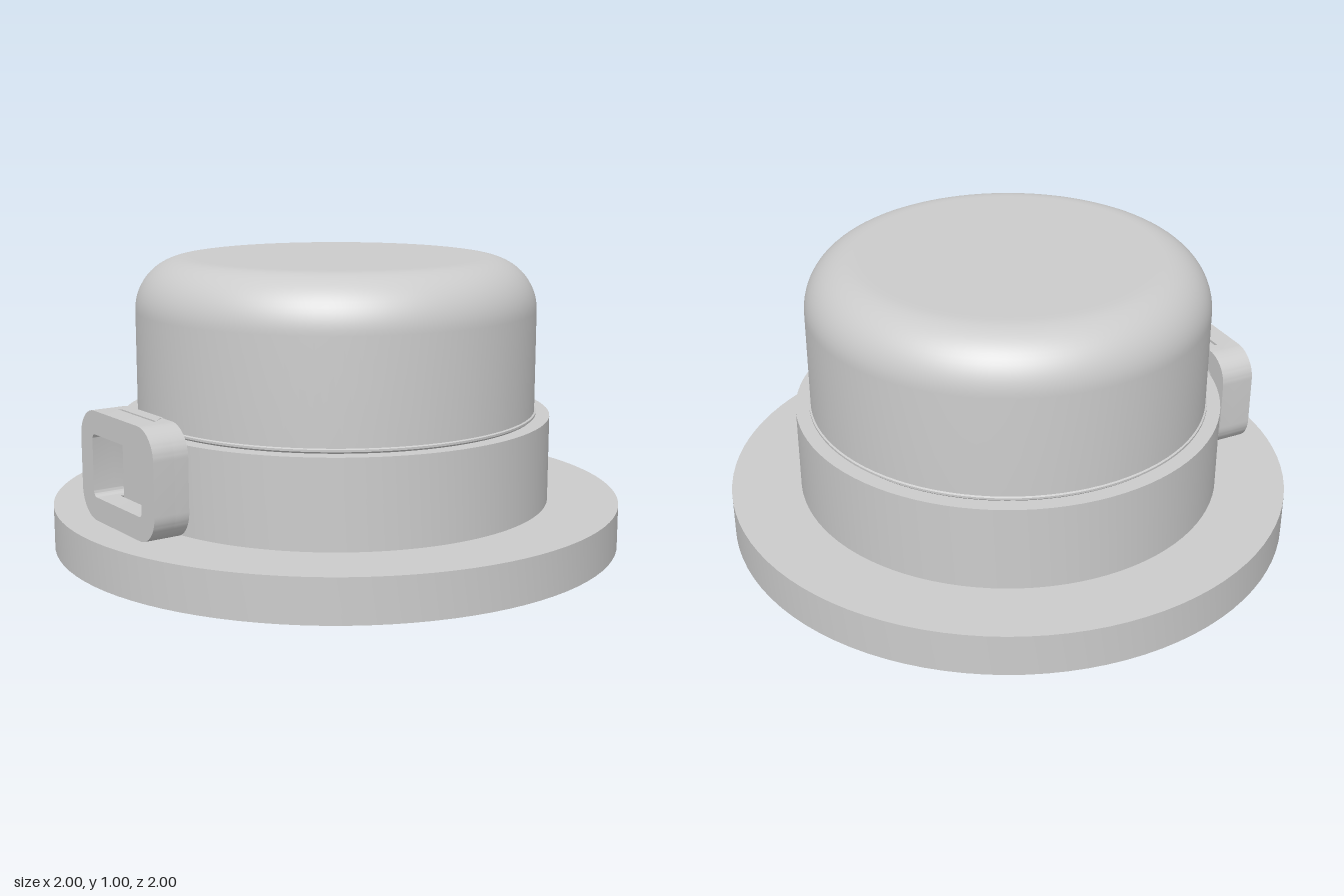
import * as THREE from 'three';
import { toCreasedNormals } from 'three/addons/utils/BufferGeometryUtils.js';

const SEGMENTS = 96;

export function createModel() {
  const model = new THREE.Group();
  const grey = new THREE.MeshStandardMaterial({ color: 0xcccccc });

  const add = (name, geometry, parent = model) => {
    const mesh = new THREE.Mesh(geometry, grey);
    mesh.name = name;
    parent.add(mesh);
    return mesh;
  };
  const lathe = (points, segments = SEGMENTS) => toCreasedNormals(
    new THREE.LatheGeometry(points.map(([x, y]) => new THREE.Vector2(x, y)), segments), 0.5);
  const circle = (Type, x, y, r) => new Type().absarc(x, y, r, 0, Math.PI * 2);
  const roundedRect = (Type, x0, y0, x1, y1, r) => {
    const s = new Type();
    s.absarc(x1 - r, y0 + r, r, -Math.PI / 2, 0);
    s.absarc(x1 - r, y1 - r, r, 0, Math.PI / 2);
    s.absarc(x0 + r, y1 - r, r, Math.PI / 2, Math.PI);
    s.absarc(x0 + r, y0 + r, r, Math.PI, Math.PI * 1.5);
    s.closePath();
    return s;
  };

  // Flange and collar
  add('flangeAndCollar', lathe([[1, 0], [1, 0.15], [0.753, 0.15], [0.753, 0.452], [0.69, 0.452]]));

  // Dome with a thin lip at its foot and a rounded shoulder
  const dome = [[0.697, 0.45], [0.706, 0.458], [0.706, 0.465], [0.7, 0.468]];
  for (let i = 0; i <= 16; i++) {
    const a = (i / 16) * Math.PI / 2;
    dome.push([0.52 + 0.18 * Math.cos(a), 0.82 + 0.18 * Math.sin(a)]);
  }
  dome.push([0.5, 1], [0, 1]);
  add('dome', lathe(dome));

  // Conical hollow, open underneath
  add('conicalHollow', lathe([[0, 0.95], [0.1, 0.95], [0.725, 0]]));

  // Underside with four blind screw holes
  const underside = circle(THREE.Shape, 0, 0, 1);
  underside.holes.push(circle(THREE.Path, 0, 0, 0.725));
  for (let i = 0; i < 4; i++) {
    const a = Math.PI / 4 + i * Math.PI / 2;
    const x = 0.885 * Math.cos(a), z = 0.885 * Math.sin(a);
    underside.holes.push(circle(THREE.Path, x, z, 0.024));
    add('screwHole', lathe([[0, 0.1], [0.024, 0.1], [0.024, 0]], 24)).position.set(x, 0, z);
  }
  add('underside', new THREE.ShapeGeometry(underside, SEGMENTS).rotateX(Math.PI / 2));

  // Dovetail rail, flush with the top of the clip
  const rail = new THREE.Shape([[-0.083, -0.745], [-0.083, -0.752], [-0.117, -0.79],
    [0.117, -0.79], [0.083, -0.752], [0.083, -0.745]].map(([x, y]) => new THREE.Vector2(x, y)));
  add('dovetailRail', new THREE.ExtrudeGeometry(rail, { depth: 0.375, bevelEnabled: false })
    .rotateX(-Math.PI / 2).translate(0, 0.15, 0));

  // Front frame of the clip, with a window
  const clip = new THREE.Group();
  clip.name = 'clip';
  model.add(clip);
  const frame = roundedRect(THREE.Shape, -0.25, 0.15, 0.25, 0.525, 0.1);
  frame.holes.push(roundedRect(THREE.Path, -0.167, 0.23, 0.167, 0.445, 0.02));
  const frameGeometry = new THREE.ExtrudeGeometry(frame, { depth: 0.075, bevelEnabled: false, curveSegments: 10 });
  add('clipFrame', toCreasedNormals(frameGeometry.translate(0, 0, 0.8), 0.5), clip);

  // Clip jaws either side of the dovetail slot, which narrows towards the collar
  for (const side of [1, -1]) {
    const jaw = new THREE.Shape();
    jaw.moveTo(0.125, 0.15);
    jaw.absarc(0.15, 0.25, 0.1, -Math.PI / 2, 0);
    jaw.absarc(0.15, 0.425, 0.1, 0, Math.PI / 2);
    jaw.lineTo(0.125, 0.525);
    jaw.lineTo(0.125, 0.445);
    jaw.absarc(0.147, 0.425, 0.02, Math.PI / 2, 0, true);
    jaw.absarc(0.147, 0.25, 0.02, 0, -Math.PI / 2, true);
    jaw.lineTo(0.125, 0.23);
    jaw.closePath();
    const geometry = new THREE.ExtrudeGeometry(jaw, { depth: 0.05, bevelEnabled: false, curveSegments: 10 });
    const p = geometry.attributes.position;
    for (let i = 0; i < p.count; i++) {
      if (p.getX(i) < 0.13 && p.getZ(i) < 0.01) p.setX(i, 0.085);
    }
    geometry.translate(0, 0, 0.75);
    add('clipJaw', toCreasedNormals(geometry, 0.5), clip).scale.x = side;
  }

  return model;
}
